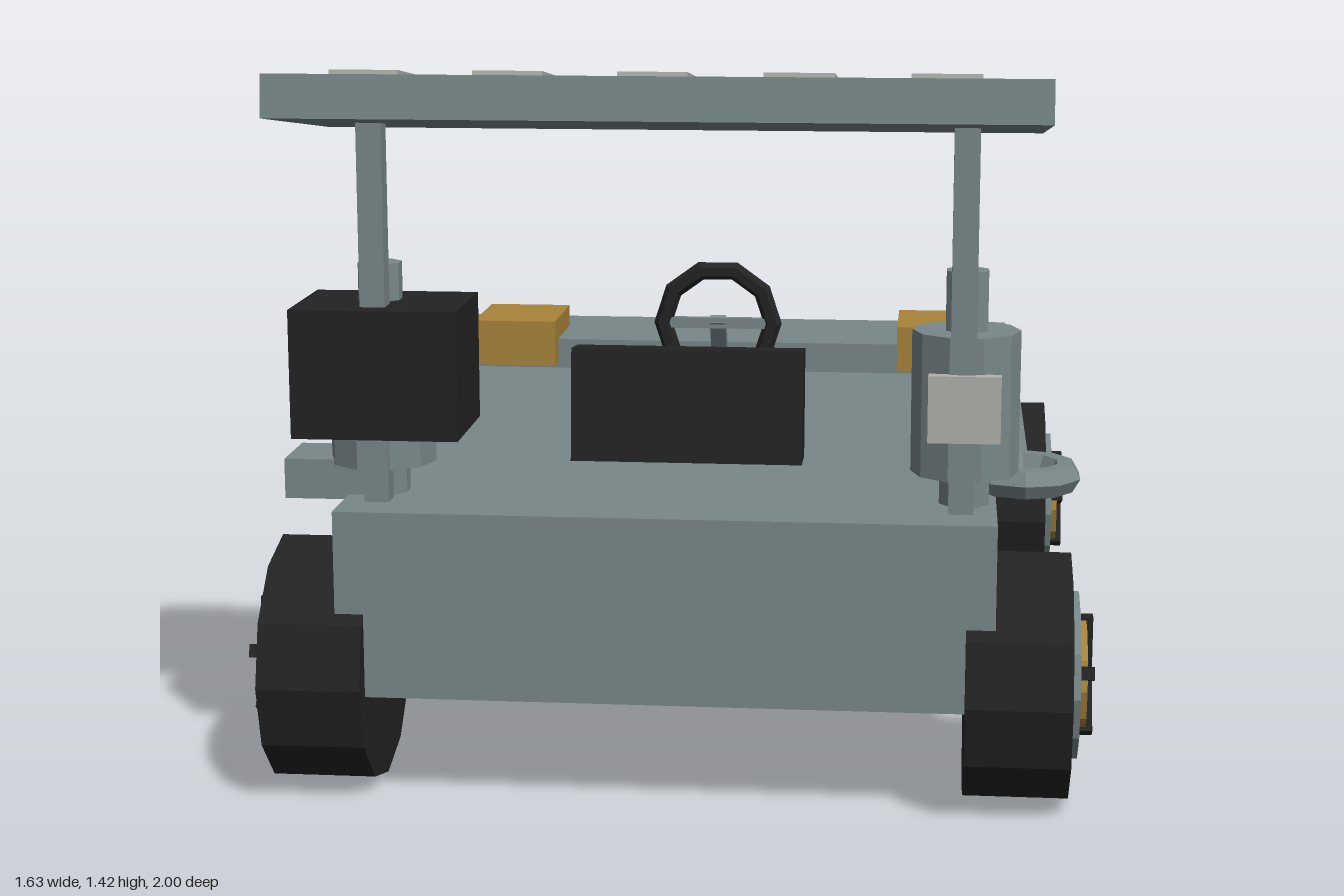
import * as THREE from 'three';

const mat = (name, hex) => {
  const m = new THREE.MeshStandardMaterial({ color: hex });
  m.name = name;
  return m;
};

export function createModel() {
  const grey = mat('blue grey', 0x788789);
  const black = mat('black', 0x232323);
  const gold = mat('gold', 0xa9843a);
  const pale = mat('pale grey', 0xb0b2ab);
  const brown = mat('brown', 0x674735);

  const model = new THREE.Group();
  model.name = 'cart';

  // Faceted mesh placed in a parent
  const add = (name, geo, material, x, y, z, parent = model) => {
    const flat = geo.index ? geo.toNonIndexed() : geo;
    flat.computeVertexNormals();
    const mesh = new THREE.Mesh(flat, material);
    mesh.name = name;
    mesh.position.set(x, y, z);
    parent.add(mesh);
    return mesh;
  };
  // Box from its extents
  const box = (name, material, [x0, x1], [y0, y1], [z0, z1], parent) =>
    add(name, new THREE.BoxGeometry(x1 - x0, y1 - y0, z1 - z0), material,
      (x0 + x1) / 2, (y0 + y1) / 2, (z0 + z1) / 2, parent);
  const cyl = (r, h, sides) => new THREE.CylinderGeometry(r, r, h, sides);
  const group = (name, x, y, z, parent = model) => {
    const g = new THREE.Group();
    g.name = name;
    g.position.set(x, y, z);
    parent.add(g);
    return g;
  };

  // Body and raised end deck
  box('body', grey, [-0.625, 0.625], [0.217, 0.58], [-0.942, 0.872]);
  box('endDeck', grey, [-0.675, 0.675], [0.578, 0.65], [-0.947, -0.608]);

  // Wheels: tyre, rim, hub disc and five spokes, outer side along +x
  for (const side of [-1, 1]) {
    for (const z of [0.68, -0.757]) {
      const wheel = group('wheel', side * 0.67, 0.242, z);
      if (side < 0) wheel.rotation.y = Math.PI;
      const disc = (name, material, r, x0, x1, sides) => {
        const g = cyl(r, x1 - x0, sides).rotateZ(Math.PI / 2);
        add(name, g, material, (x0 + x1) / 2, 0, 0, wheel);
      };
      disc('tyre', black, 0.242, -0.1, 0.1, 12);
      disc('rim', grey, 0.165, 0.05, 0.117, 12);
      disc('hubDisc', gold, 0.115, 0.1, 0.132, 12);
      for (let i = 0; i < 5; i++) {
        const spoke = new THREE.BoxGeometry(0.03, 0.118, 0.026)
          .translate(0, 0.059, 0).rotateX((i * Math.PI * 2) / 5);
        add('spoke', spoke, black, 0.13, 0, 0, wheel);
      }
    }
  }

  // Roof with pale stripes, tilted up at the front
  const roof = group('roof', 0, 1.341, 0.738);
  roof.rotation.x = -0.125;
  box('roofPanel', grey, [-0.705, 0.705], [-0.04, 0.04], [-0.262, 0.262], roof);
  for (let i = -2; i <= 2; i++) {
    const x = i * 0.259;
    box('roofStripe', pale, [x - 0.0625, x + 0.0625], [0.039, 0.048], [-0.26, 0.26], roof);
  }

  // Roof posts, plus a tank with a cap on each side
  for (const s of [-1, 1]) {
    add('roofPost', new THREE.BoxGeometry(0.048, 0.74, 0.044), grey, s * 0.557, 0.945, 0.765);
    add('tank', cyl(0.103, 0.275, 10).rotateY(Math.PI / 2), grey, s * 0.563, 0.778, 0.683);
    add('tankBase', cyl(0.05, 0.07, 10), grey, s * 0.563, 0.61, 0.683);
    add('tankCap', cyl(0.043, 0.13, 8).rotateY(Math.PI / 8), grey, s * 0.563, 0.965, 0.683);
  }
  box('tankPlate', pale, [0.492, 0.628], [0.72, 0.847], [0.776, 0.803]);

  // Motor box with a barrel behind it and a bracket below
  box('motorBox', black, [-0.71, -0.39], [0.71, 0.958], [0.588, 0.83]);
  add('barrel', cyl(0.1, 0.15, 10).rotateX(Math.PI / 2), grey, -0.54, 0.833, 0.525);
  add('barrelCap', cyl(0.075, 0.04, 10).rotateX(Math.PI / 2), grey, -0.54, 0.833, 0.446);
  box('bracket', grey, [-0.75, -0.57], [0.57, 0.648], [0.585, 0.73]);

  // Side rods and the flat ring at the end of one of them
  box('brownRod', brown, [-0.698, -0.645], [0.577, 0.625], [-0.343, 0.59]);
  box('greyRod', grey, [0.645, 0.69], [0.588, 0.63], [-0.335, 0.5]);
  const ring = new THREE.TorusGeometry(0.082, 0.031, 6, 10)
    .rotateX(Math.PI / 2).rotateY(Math.PI / 2);
  add('ring', ring, grey, 0.68, 0.612, 0.577);

  // Seat back, leaning
  const seat = group('seat', 0, 0.69, 0.345);
  seat.rotation.x = -0.1;
  box('seatBack', black, [-0.237, 0.237], [-0.12, 0.117], [-0.045, 0.045], seat);
  box('seatPad', grey, [-0.182, 0.182], [-0.1, 0.09], [-0.07, -0.044], seat);

  // Steering wheel, crossbar and column
  add('steeringWheel', new THREE.TorusGeometry(0.127, 0.021, 6, 10), black, 0, 0.74, -0.36);
  box('steeringCrossbar', grey, [-0.12, 0.12], [0.728, 0.752], [-0.37, -0.35]);
  const column = add('steeringColumn', new THREE.BoxGeometry(0.036, 0.22, 0.028), grey, 0, 0.655, -0.418);
  column.rotation.x = 0.56;

  // Gold lamps on the end deck
  for (const s of [-1, 1]) {
    add('lamp', new THREE.BoxGeometry(0.196, 0.107, 0.248), gold, s * 0.509, 0.648, -0.68);
  }

  return model;
}
